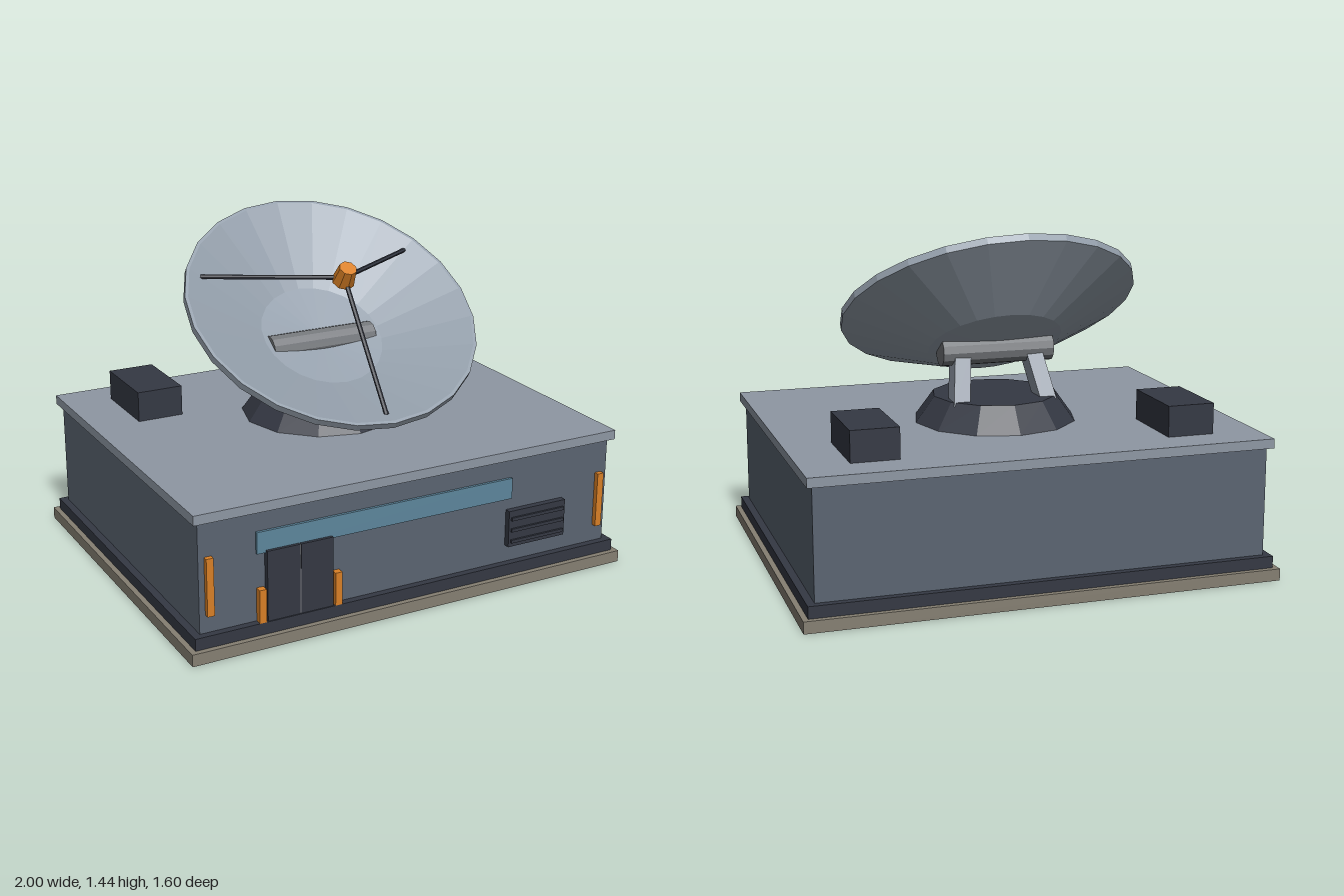
import * as THREE from 'three';

const mat = (color) => new THREE.MeshStandardMaterial({ color, flatShading: true });
const M = {
  slab: mat(0x857f72), wall: mat(0x5a6471), roof: mat(0x8e97a3), dish: mat(0x949fab),
  dark: mat(0x343843), orange: mat(0xd98026), glass: mat(0x5d869c), steel: mat(0x74777b),
};

export function createModel() {
  const model = new THREE.Group();
  model.name = 'dishStation';

  const add = (name, geometry, material, parent = model) => {
    const mesh = new THREE.Mesh(geometry, material);
    mesh.name = name;
    parent.add(mesh);
    return mesh;
  };
  // Box given by its limits on each axis
  const box = (name, material, x0, x1, y0, y1, z0, z1) => {
    const mesh = add(name, new THREE.BoxGeometry(x1 - x0, y1 - y0, z1 - z0), material);
    mesh.position.set((x0 + x1) / 2, (y0 + y1) / 2, (z0 + z1) / 2);
    return mesh;
  };
  // Lay a y-aligned part between two points
  const span = (mesh, a, b) => {
    mesh.position.copy(a).lerp(b, 0.5);
    mesh.quaternion.setFromUnitVectors(new THREE.Vector3(0, 1, 0), b.clone().sub(a).normalize());
    return mesh;
  };

  // Building
  box('foundation', M.slab, -1, 1, 0, 0.05, -0.8, 0.8);
  box('plinth', M.dark, -0.977, 0.977, 0.05, 0.1, -0.777, 0.777);
  box('walls', M.wall, -0.945, 0.945, 0.1, 0.56, -0.747, 0.747);
  box('roof', M.roof, -0.968, 0.968, 0.56, 0.6, -0.769, 0.769);

  // Front details
  box('windowStrip', M.glass, -0.705, 0.46, 0.385, 0.475, 0.74, 0.759);
  box('leftDoor', M.dark, -0.523, -0.383, 0.1, 0.395, 0.74, 0.772);
  box('rightDoor', M.dark, -0.668, -0.528, 0.1, 0.395, 0.74, 0.772);
  box('doorSeam', M.steel, -0.528, -0.523, 0.1, 0.393, 0.74, 0.77);
  for (const x of [-0.69, -0.36]) box('doorMarker', M.orange, x - 0.015, x + 0.015, 0.1, 0.24, 0.74, 0.777);
  for (const x of [-0.905, 0.905]) box('wallMarker', M.orange, x - 0.015, x + 0.015, 0.175, 0.415, 0.74, 0.769);
  box('vent', M.dark, 0.44, 0.72, 0.175, 0.335, 0.74, 0.774);
  for (const y of [0.2, 0.25, 0.3]) box('ventSlat', M.dark, 0.45, 0.71, y - 0.007, y + 0.007, 0.77, 0.783);

  // Roof units
  for (const s of [-1, 1]) box('roofUnit', M.dark, s * 0.666 - 0.1, s * 0.666 + 0.1, 0.6, 0.73, -0.613, -0.273);

  // Pedestal and yoke
  add('pedestal', new THREE.CylinderGeometry(0.27, 0.35, 0.11, 12), M.dark).position.set(0, 0.655, -0.05);
  for (const s of [-1, 1]) {
    const foot = new THREE.Vector3(s * 0.195, 0.67, -0.17);
    const head = new THREE.Vector3(s * 0.155, 0.9, -0.06);
    span(add('yokeArm', new THREE.BoxGeometry(0.07, foot.distanceTo(head), 0.09), M.roof), foot, head);
  }
  const pivot = add('pivot', new THREE.CylinderGeometry(0.062, 0.062, 0.49, 12), M.steel);
  pivot.rotation.z = Math.PI / 2;
  pivot.position.set(0, 0.902, -0.062);

  // Tilted antenna, origin at the rim centre
  const antenna = new THREE.Group();
  antenna.name = 'antenna';
  antenna.position.set(0, 1.091, 0.054);
  antenna.rotation.x = 0.583;
  model.add(antenna);

  const profile = [
    [0, -0.213], [0.289, -0.197], [0.639, -0.031], [0.639, 0], [0.625, 0],
    [0.27, -0.178], [0, -0.203],
  ].map(([r, y]) => new THREE.Vector2(r, y));
  add('dish', new THREE.LatheGeometry(profile, 24), M.dish, antenna);

  add('feedHorn', new THREE.CylinderGeometry(0.038, 0.049, 0.08, 8), M.orange, antenna).position.y = 0.197;

  for (let i = 0; i < 3; i++) {
    const a = (i * Math.PI * 2) / 3;
    const rim = new THREE.Vector3(Math.sin(a) * 0.57, -0.03, Math.cos(a) * 0.57);
    const top = new THREE.Vector3(0, 0.18, 0);
    span(add('feedStrut', new THREE.CylinderGeometry(0.01, 0.01, rim.distanceTo(top), 6), M.dark, antenna), rim, top);
  }
  return model;
}
